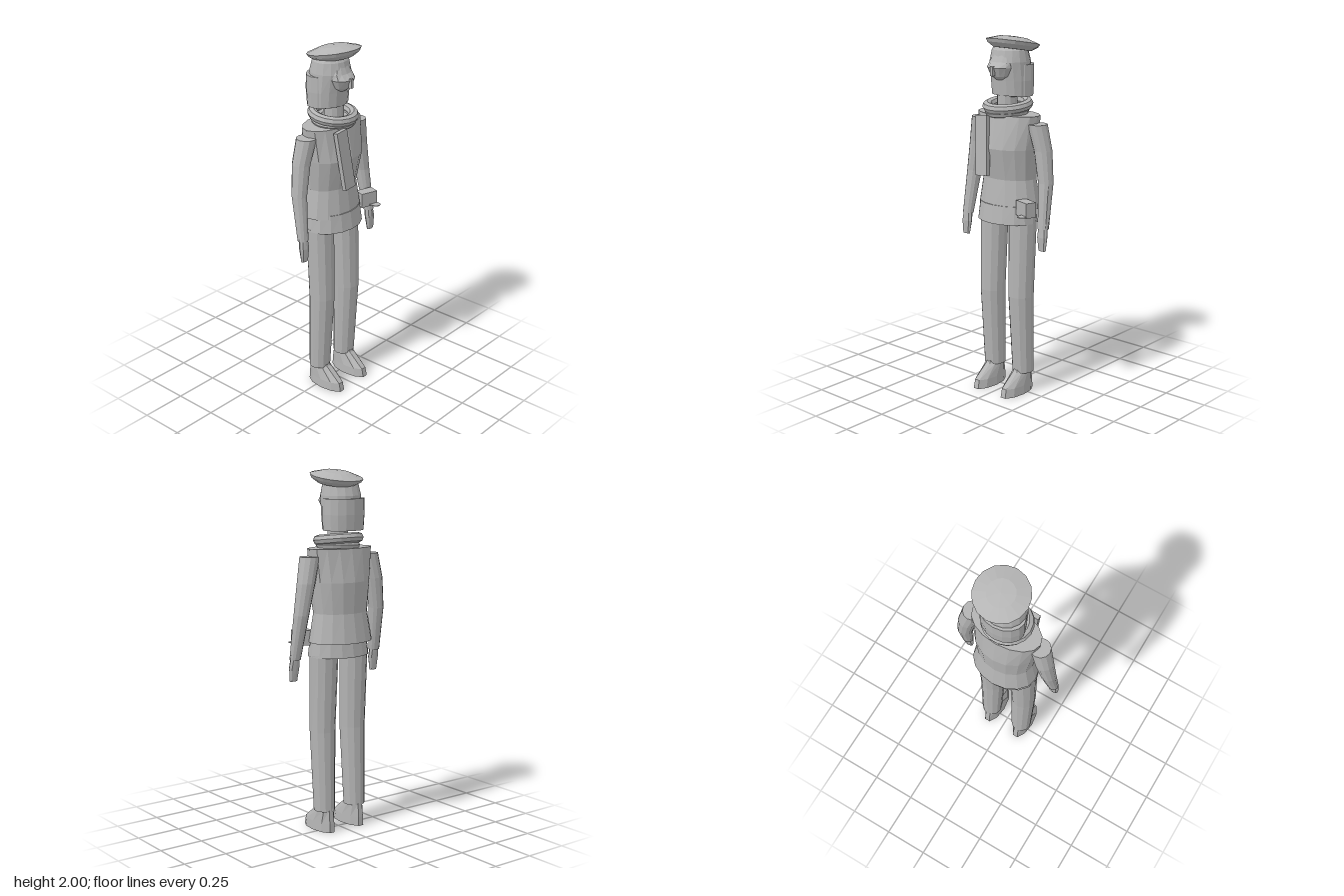
import * as THREE from 'three';

const cloth = new THREE.MeshStandardMaterial({ color: 0xb4b4b4, flatShading: true });
cloth.name = 'plain grey';

// Capped loft through horizontal ellipses, listed from bottom to top: [x, y, z, rx, rz]
function loft(sections, n = 12) {
  const pos = [], idx = [];
  for (const [x, y, z, rx, rz] of sections) {
    for (let j = 0; j < n; j++) {
      const a = (j / n) * Math.PI * 2;
      pos.push(x + rx * Math.cos(a), y, z + rz * Math.sin(a));
    }
  }
  for (let i = 0; i < sections.length - 1; i++) {
    for (let j = 0; j < n; j++) {
      const p = i * n + j, q = i * n + (j + 1) % n;
      idx.push(p, p + n, q, q, p + n, q + n);
    }
  }
  const top = (sections.length - 1) * n;
  for (let j = 1; j < n - 1; j++) {
    idx.push(0, j, j + 1, top, top + j + 1, top + j);
  }
  const g = new THREE.BufferGeometry();
  g.setAttribute('position', new THREE.Float32BufferAttribute(pos, 3));
  g.setIndex(idx);
  const flat = g.toNonIndexed();
  flat.computeVertexNormals();
  return flat;
}

export function createModel() {
  const model = new THREE.Group();
  model.name = 'figure';
  const add = (name, geometry, position = [0, 0, 0], rotation = [0, 0, 0]) => {
    const mesh = new THREE.Mesh(geometry, cloth);
    mesh.name = name;
    mesh.position.set(...position);
    mesh.rotation.set(...rotation);
    model.add(mesh);
    return mesh;
  };

  // Hips and coat
  add('hips', loft([
    [0, 0.99, 0, 0.183, 0.14],
    [0, 1.09, 0, 0.172, 0.125],
  ], 16));
  add('coat', loft([
    [0, 1.07, -0.02, 0.19, 0.143],
    [0, 1.23, -0.018, 0.163, 0.12],
    [0, 1.4, -0.006, 0.182, 0.143],
    [0, 1.58, -0.01, 0.2, 0.112],
  ], 16));

  // Limbs, mirrored
  for (const [s, side] of [[1, 'left'], [-1, 'right']]) {
    add(side + 'Leg', loft([
      [s * 0.105, 0.12, -0.01, 0.06, 0.06],
      [s * 0.104, 0.57, 0.008, 0.071, 0.072],
      [s * 0.102, 1.0, -0.005, 0.08, 0.077],
    ], 12));
    add(side + 'Shoe', loft([
      [s * 0.102, 0, 0.04, 0.053, 0.125],
      [s * 0.102, 0.05, 0.036, 0.05, 0.118],
      [s * 0.102, 0.125, -0.006, 0.043, 0.065],
      [s * 0.102, 0.17, -0.015, 0.036, 0.045],
    ], 10));
    add(side + 'Arm', loft([
      [s * 0.274, 0.985, 0.026, 0.032, 0.028],
      [s * 0.258, 1.23, -0.012, 0.042, 0.042],
      [s * 0.232, 1.4, -0.02, 0.05, 0.05],
      [s * 0.2, 1.54, -0.01, 0.055, 0.055],
    ], 12));
    add(side + 'Hand', loft([
      [s * 0.277, 0.865, 0.038, 0.025, 0.012],
      [s * 0.275, 0.94, 0.034, 0.033, 0.021],
      [s * 0.274, 1.0, 0.026, 0.026, 0.022],
    ], 8));
  }

  // Neck, head and hair
  add('neck', loft([
    [0, 1.57, 0.005, 0.055, 0.055],
    [0, 1.7, 0.005, 0.055, 0.055],
  ], 12));
  add('head', loft([
    [0, 1.68, -0.03, 0.112, 0.095],
    [0, 1.76, -0.027, 0.116, 0.1],
    [0, 1.86, -0.02, 0.113, 0.108],
    [0, 1.92, -0.018, 0.102, 0.092],
    [0, 1.945, -0.018, 0.085, 0.075],
  ], 16));
  add('backHair', loft([
    [0, 1.675, -0.045, 0.12, 0.09],
    [0, 1.76, -0.045, 0.125, 0.097],
    [0, 1.845, -0.045, 0.123, 0.096],
  ], 16));

  // Face
  add('muzzle', loft([
    [0, 1.765, 0.06, 0.025, 0.018],
    [0, 1.785, 0.06, 0.055, 0.044],
    [0, 1.832, 0.06, 0.075, 0.066],
    [0, 1.86, 0.06, 0.07, 0.035],
    [0, 1.91, 0.055, 0.045, 0.016],
  ], 12));
  add('nose', new THREE.BoxGeometry(0.016, 0.05, 0.02), [0, 1.815, 0.122]);

  // Cap, tipped back and set slightly to one side
  const capProfile = [[0, -0.035], [0.1, -0.035], [0.136, -0.012], [0.146, 0.006], [0.074, 0.029], [0, 0.034]]
    .map(([r, y]) => new THREE.Vector2(r, y));
  add('cap', new THREE.LatheGeometry(capProfile, 16), [0.024, 1.957, -0.014], [-0.18, 0, 0]);

  // Scarf: two wound loops and a hanging end
  add('scarfUpperLoop', new THREE.TorusGeometry(0.11, 0.028, 8, 18), [0, 1.625, 0], [Math.PI / 2 + 0.12, 0, 0]);
  add('scarfLowerLoop', new THREE.TorusGeometry(0.095, 0.026, 8, 18), [0, 1.593, 0.005], [Math.PI / 2 + 0.05, 0.04, 0]);
  add('scarfEnd', new THREE.BoxGeometry(0.08, 0.325, 0.026), [-0.062, 1.413, 0.135], [-0.11, 0, 0.1]);

  // Belt pouch with its thin rounded tab
  add('pouch', new THREE.BoxGeometry(0.1, 0.082, 0.062), [0.195, 1.092, 0.075], [0, -0.3, 0]);
  const tab = new THREE.Shape();
  tab.moveTo(-0.025, 0);
  tab.lineTo(0.025, 0);
  tab.lineTo(0.025, 0.045);
  tab.absarc(0, 0.045, 0.025, 0, Math.PI, false);
  add('pouchTab', new THREE.ExtrudeGeometry(tab, { depth: 0.004, bevelEnabled: false, curveSegments: 8 }),
    [0.213, 1.062, 0.085], [Math.PI / 2, 0, 0]);

  return model;
}
